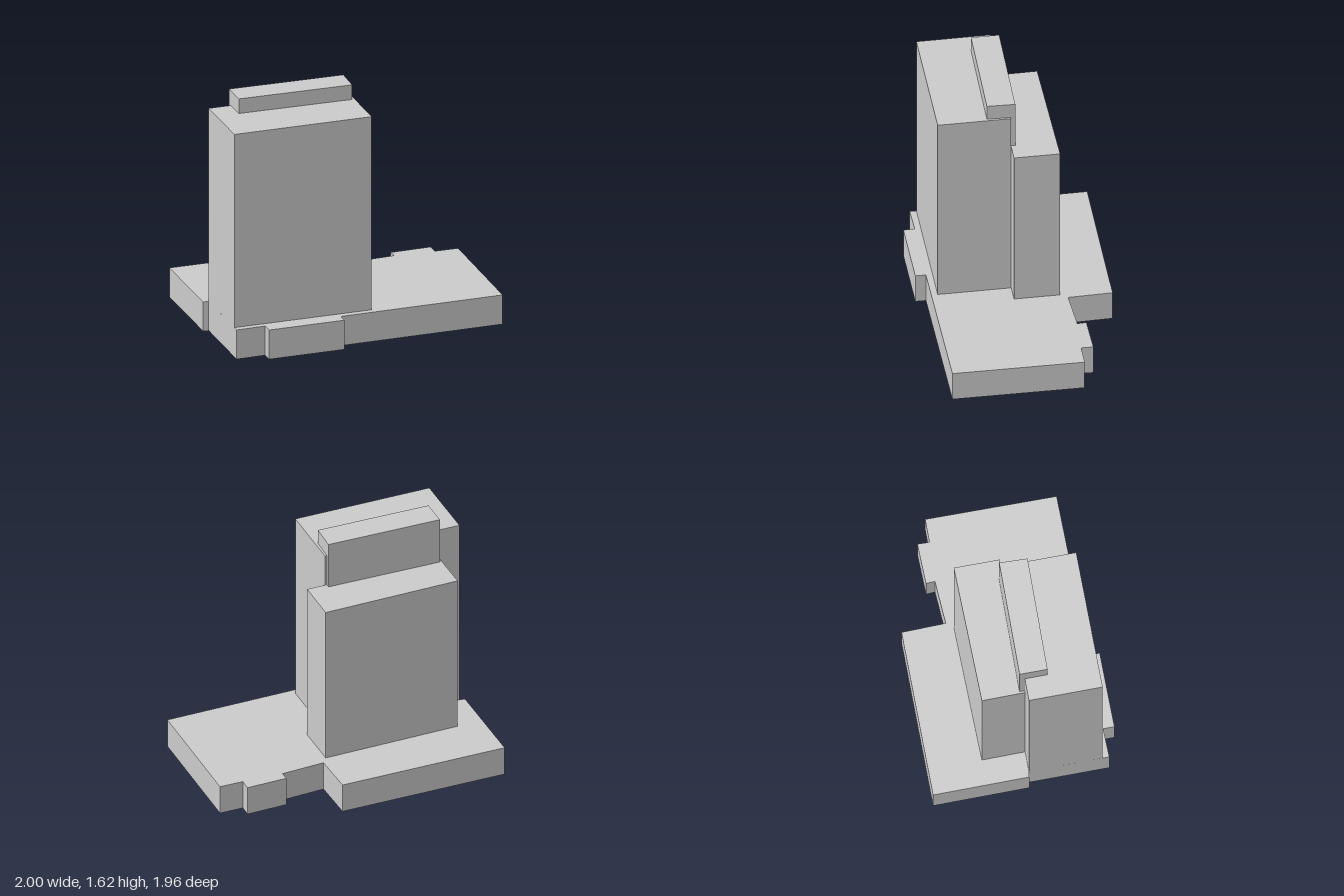
import * as THREE from 'three';

const material = new THREE.MeshStandardMaterial({ color: 0xcccccc, flatShading: true });

// Upright prism from a plan outline of [x, z] points
function prism(name, plan, bottom, top) {
  const shape = new THREE.Shape(plan.map(([x, z]) => new THREE.Vector2(x, -z)));
  const geometry = new THREE.ExtrudeGeometry(shape, { depth: top - bottom, bevelEnabled: false });
  geometry.rotateX(-Math.PI / 2).translate(0, bottom, 0);
  const mesh = new THREE.Mesh(geometry, material);
  mesh.name = name;
  return mesh;
}

export function createModel() {
  const group = new THREE.Group();
  group.name = 'towerBlock';

  // Wide base with stepped edges
  group.add(prism('podium', [
    [-1, 0.345], [-0.345, -0.56], [-0.107, -0.4], [0.05, -0.645],
    [0, -0.676], [0.155, -0.9], [0.217, -0.853], [0.31, -0.98],
    [1, -0.485], [0.37, 0.405], [0.425, 0.445], [0.13, 0.857],
    [0.07, 0.815], [-0.04, 0.975], [-0.465, 0.675], [-0.49, 0.702],
  ], 0, 0.2));

  // Tall slab, flush with the front edge of the podium
  group.add(prism('mainTower',
    [[-0.465, 0.675], [0.08, -0.073], [0.465, 0.2], [-0.075, 0.95]], 0.2, 1.52));

  // Lower slab standing against it
  group.add(prism('lowerTower',
    [[-0.615, 0.405], [-0.09, -0.345], [0.152, -0.173], [-0.385, 0.565]], 0.2, 1.3));

  // Roof block straddling both slabs
  group.add(prism('roofBlock',
    [[-0.405, 0.535], [0.05, -0.08], [0.195, 0.03], [-0.257, 0.64]], 1.3, 1.62));

  return group;
}
